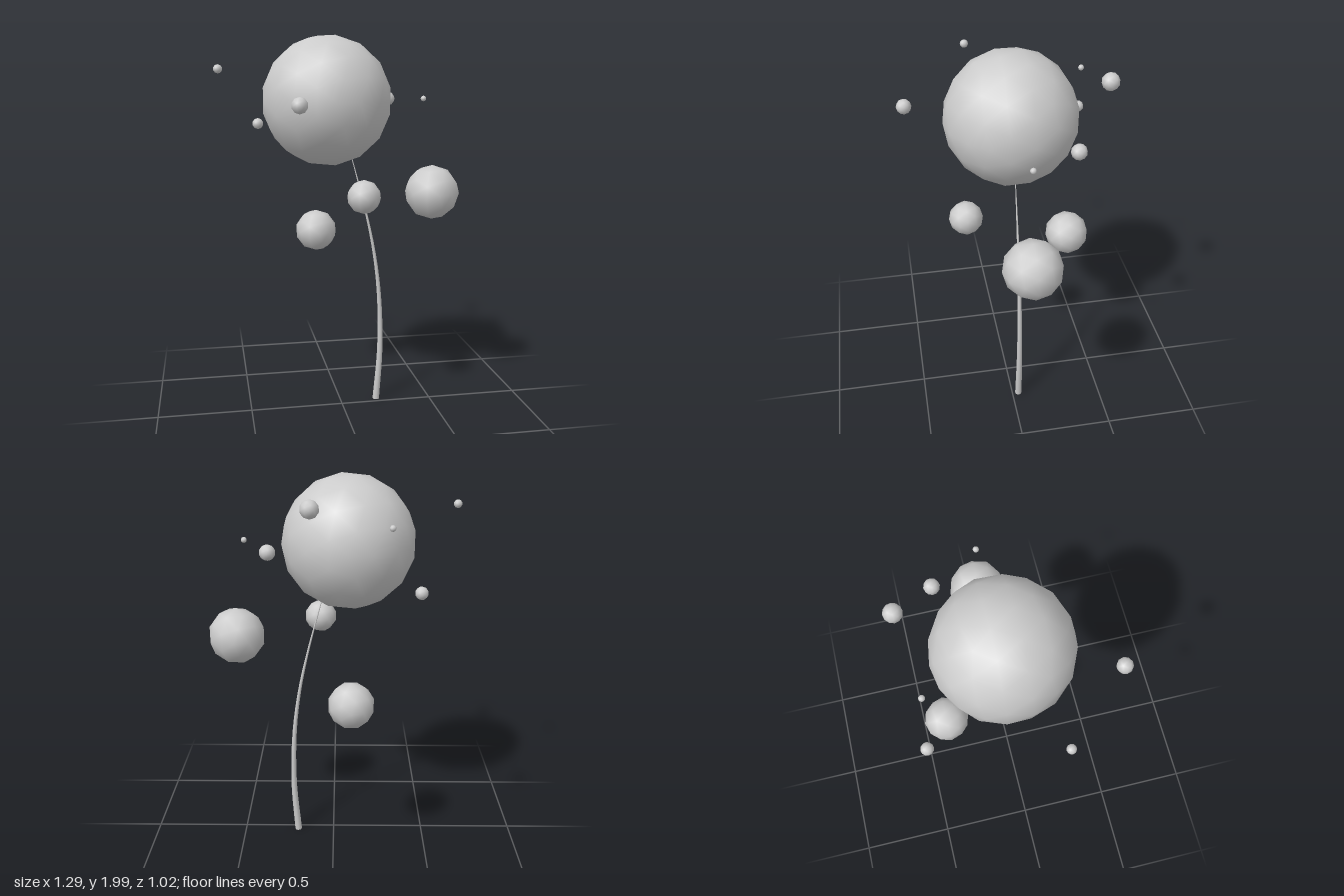
import * as THREE from 'three';

const material = new THREE.MeshStandardMaterial({ color: 0xcccccc });

// Icosphere with its poles on the z axis
function ball(name, radius, detail, x, y, z) {
  const geometry = new THREE.IcosahedronGeometry(radius, detail);
  geometry.rotateX(Math.atan(2 / (1 + Math.sqrt(5))));
  geometry.rotateZ(Math.PI / 2);
  const mesh = new THREE.Mesh(geometry, material);
  mesh.name = name;
  mesh.position.set(x, y, z);
  return mesh;
}

// Curved stem that thins towards its tip
function createStem() {
  const stem = new THREE.Group();
  stem.name = 'stem';
  const z = -0.035;
  const path = new THREE.CatmullRomCurve3([
    [0.2, 0.004], [0.22, 0.3], [0.213, 0.6], [0.183, 0.85], [0.13, 1.1], [0.055, 1.38],
  ].map(([x, y]) => new THREE.Vector3(x, y, z)));
  const rings = 20, sides = 8, baseRadius = 0.019, tipRadius = 0.002;

  const tube = new THREE.TubeGeometry(path, rings, 1, sides, false);
  const positions = tube.attributes.position;
  const v = new THREE.Vector3();
  for (let i = 0; i <= rings; i++) {
    const centre = path.getPointAt(i / rings);
    const radius = THREE.MathUtils.lerp(baseRadius, tipRadius, i / rings);
    for (let j = 0; j <= sides; j++) {
      const k = i * (sides + 1) + j;
      v.fromBufferAttribute(positions, k).sub(centre).multiplyScalar(radius).add(centre);
      positions.setXYZ(k, v.x, v.y, v.z);
    }
  }
  const stalk = new THREE.Mesh(tube, material);
  stalk.name = 'stalk';

  // Cap facing down at the foot
  const cap = new THREE.Mesh(new THREE.CircleGeometry(baseRadius, sides), material);
  cap.name = 'stalkBase';
  cap.position.copy(path.getPointAt(0));
  cap.quaternion.setFromUnitVectors(new THREE.Vector3(0, 0, 1), path.getTangentAt(0).negate());
  stem.add(stalk, cap);
  return stem;
}

export function createModel() {
  const model = new THREE.Group();
  model.name = 'balloonTree';
  model.add(createStem());
  model.add(ball('crown', 0.335, 2, -0.075, 1.667, -0.035));

  // Medium balls below the crown: radius, x, y, z
  [
    [0.147, 0.5, 1.175, -0.037],
    [0.086, 0.072, 1.202, 0.22],
    [0.117, -0.09, 0.922, -0.35],
  ].forEach((b, i) => model.add(ball(`lowerBall${i + 1}`, b[0], 1, b[1], b[2], b[3])));

  // Small balls floating around the crown: radius, x, y, z
  [
    [0.039, -0.277, 1.667, 0.472],
    [0.039, 0.306, 1.667, -0.28],
    [0.015, 0.443, 1.675, -0.04],
    [0.022, -0.628, 1.828, 0.118],
    [0.031, -0.402, 1.525, -0.46],
    [0.015, -0.267, 1.81, -0.427],
    [0.044, 0.1, 1.9, -0.468],
  ].forEach((b, i) => model.add(ball(`floatingBall${i + 1}`, b[0], 1, b[1], b[2], b[3])));

  return model;
}
